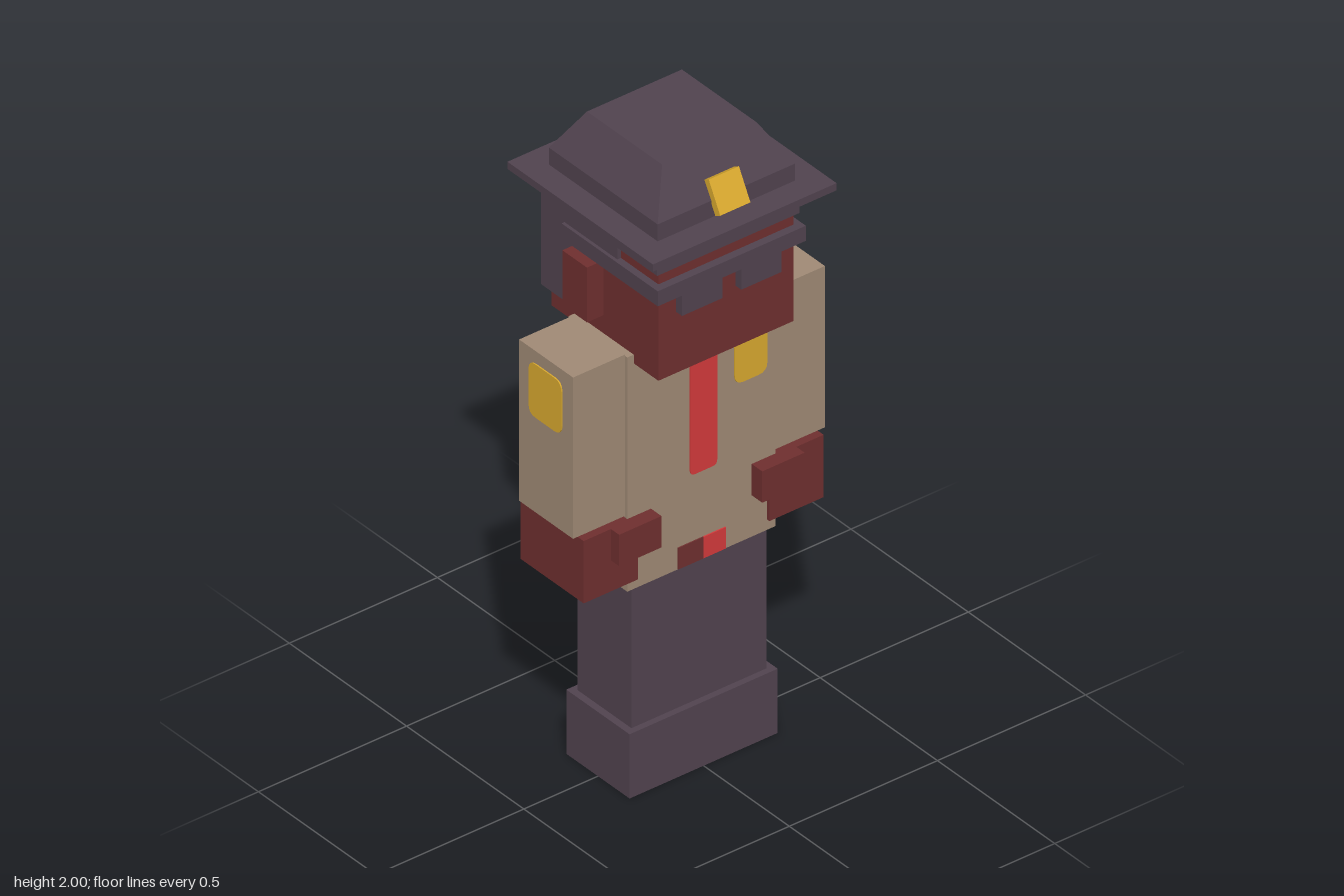
import * as THREE from 'three';

const mat = (name, color) => {
  const m = new THREE.MeshStandardMaterial({ color });
  m.name = name;
  return m;
};

export function createModel() {
  const purple = mat('dark purple', 0x51434f);
  const tan = mat('tan', 0xa08a75);
  const skin = mat('dark red', 0x6f2f2f);
  const red = mat('bright red', 0xd43a3b);
  const gold = mat('gold', 0xd9a92f);

  const model = new THREE.Group();
  model.name = 'officerFigure';
  const add = (name, geometry, material) => {
    const mesh = new THREE.Mesh(geometry, material);
    mesh.name = name;
    model.add(mesh);
    return mesh;
  };
  // Box given by its limits on each axis
  const box = (name, material, x0, x1, y0, y1, z0, z1) => {
    const mesh = add(name, new THREE.BoxGeometry(x1 - x0, y1 - y0, z1 - z0), material);
    mesh.position.set((x0 + x1) / 2, (y0 + y1) / 2, (z0 + z1) / 2);
    return mesh;
  };
  // Box mirrored to the other side when s = -1
  const sideBox = (name, material, s, x0, x1, ...rest) =>
    s > 0 ? box(name, material, x0, x1, ...rest) : box(name, material, -x1, -x0, ...rest);
  // Thin plate with rounded corners, centred on its back face
  const plate = (name, material, w, h, r) => {
    const a = w / 2, b = h / 2;
    const s = new THREE.Shape();
    s.moveTo(-a + r, -b);
    s.lineTo(a - r, -b).quadraticCurveTo(a, -b, a, -b + r);
    s.lineTo(a, b - r).quadraticCurveTo(a, b, a - r, b);
    s.lineTo(-a + r, b).quadraticCurveTo(-a, b, -a, b - r);
    s.lineTo(-a, -b + r).quadraticCurveTo(-a, -b, -a + r, -b);
    return add(name, new THREE.ExtrudeGeometry(s, { depth: 0.004, bevelEnabled: false, curveSegments: 4 }), material);
  };

  // Legs and body
  box('shoes', purple, -0.25, 0.25, 0, 0.205, -0.135, 0.135);
  box('trousers', purple, -0.228, 0.228, 0.205, 0.655, -0.115, 0.115);
  box('torso', tan, -0.25, 0.25, 0.655, 1.403, -0.125, 0.125);
  box('collar', tan, -0.085, 0.085, 1.34, 1.403, 0.125, 0.128);
  plate('tie', red, 0.09, 0.46, 0.015).position.set(0.004, 1.17, 0.127);
  plate('chestBadge', gold, 0.11, 0.15, 0.03).position.set(0.165, 1.24, 0.125);
  box('buckleLeftHalf', red, 0.005, 0.08, 0.657, 0.725, 0.125, 0.129);
  box('buckleRightHalf', skin, -0.08, 0.005, 0.657, 0.725, 0.125, 0.129);

  // Head
  box('head', skin, -0.228, 0.228, 1.375, 1.72, -0.225, 0.23);

  for (const s of [1, -1]) {
    const side = s > 0 ? 'left' : 'right';
    // Arms and hands
    sideBox(side + 'Sleeve', tan, s, 0.25, 0.425, 0.892, 1.407, -0.115, 0.115);
    sideBox(side + 'Hand', skin, s, 0.222, 0.405, 0.688, 0.887, -0.135, 0.135);
    sideBox(side + 'Thumb', skin, s, 0.17, 0.313, 0.787, 0.887, 0.12, 0.17);
    const patch = plate(side + 'SleevePatch', gold, 0.14, 0.17, 0.03);
    patch.position.set(s * 0.425, 1.283, 0);
    patch.rotation.y = s * Math.PI / 2;
    // Ears and side hair
    sideBox(side + 'Ear', skin, s, 0.22, 0.283, 1.46, 1.635, -0.11, -0.005);
    sideBox(side + 'Temple', purple, s, 0.2, 0.24, 1.66, 1.73, -0.13, 0.07);
    sideBox(side + 'SideHair', purple, s, 0.19, 0.24, 1.432, 1.73, -0.255, -0.11);
    // Glasses arm, its hook behind the ear, and lens
    sideBox(side + 'GlassesArm', purple, s, 0.22, 0.25, 1.635, 1.683, -0.155, 0.255);
    sideBox(side + 'GlassesHook', purple, s, 0.22, 0.25, 1.567, 1.635, -0.155, -0.11);
    sideBox(side + 'Lens', purple, s, 0.032, 0.168, 1.57, 1.635, 0.22, 0.255);
  }
  box('glassesBar', purple, -0.22, 0.22, 1.635, 1.683, 0.22, 0.255);
  box('backHair', purple, -0.19, 0.19, 1.397, 1.73, -0.255, -0.22);
  box('hairTop', purple, -0.24, 0.24, 1.72, 1.802, -0.255, 0.24);

  // Hat: brim, straight band and tapered crown
  box('hatBrim', purple, -0.31, 0.31, 1.8, 1.823, -0.31, 0.31);
  box('hatBand', purple, -0.232, 0.232, 1.823, 1.877, -0.232, 0.232);
  const crownGeo = new THREE.BoxGeometry(0.464, 0.123, 0.464);
  const p = crownGeo.attributes.position;
  for (let i = 0; i < p.count; i++) {
    if (p.getY(i) > 0) p.setXYZ(i, p.getX(i) * 0.69, p.getY(i), p.getZ(i) * 0.69);
  }
  crownGeo.computeVertexNormals();
  add('hatCrown', crownGeo, purple).position.y = 1.9385;
  const badge = box('hatBadge', gold, -0.051, 0.051, 1.837, 1.939, 0.223, 0.247);
  badge.rotation.x = -0.5;

  return model;
}
